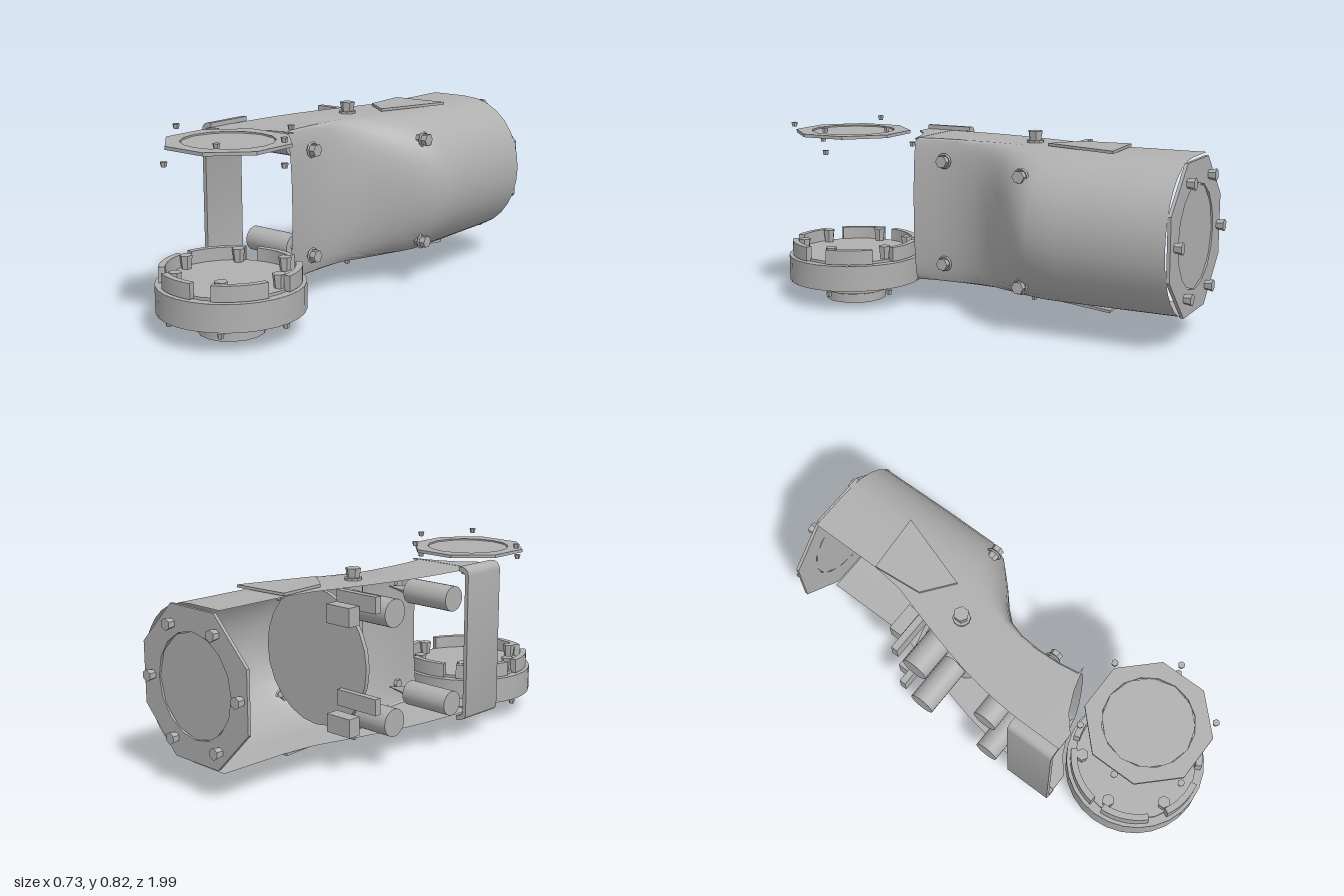
import * as THREE from 'three';
import { toCreasedNormals } from 'three/addons/utils/BufferGeometryUtils.js';

const gray = new THREE.MeshStandardMaterial({ color: 0xb0b0b0, side: THREE.DoubleSide });
gray.name = 'plainGray';

const MID = 0.445;              // height of the arm axis
const WX = 0.02, WZ = 0.69;     // wrist axis

export function createModel() {
  const root = new THREE.Group();
  const add = (name, geo, x = 0, y = 0, z = 0, parent = root) => {
    const m = new THREE.Mesh(toCreasedNormals(geo, 0.5), gray);
    m.name = name;
    m.position.set(x, y, z);
    parent.add(m);
    return m;
  };
  const cyl = (r, h, n = 24, r2 = r) => new THREE.CylinderGeometry(r, r2, h, n);
  // Flat horizontal plate from [x, z] points, its underside at y
  const plate = (name, pts, y, h) => {
    const s = new THREE.Shape(pts.map(([x, z]) => new THREE.Vector2(x, -z)));
    const g = new THREE.ExtrudeGeometry(s, { depth: h, bevelEnabled: false });
    return add(name, g.rotateX(-Math.PI / 2), 0, y, 0);
  };
  // Hexagonal screw along y with a collar
  const screw = (name, x, y, z, r, h) => {
    const g = new THREE.Group();
    g.name = name;
    add('screwHead', cyl(r, h, 6, r * 0.75), 0, 0, 0, g);
    g.position.set(x, y, z);
    root.add(g);
    return g;
  };

  // Arm shell: [z, left edge, start of the bulge, right edge], open on its left side
  const rows = [
    [-0.95, -0.12, 0.05, 0.365], [-0.62, -0.12, 0.05, 0.37], [-0.48, -0.135, 0.05, 0.37],
    [-0.36, -0.17, 0.045, 0.37], [-0.29, -0.19, 0.04, 0.34], [-0.2, -0.215, 0.03, 0.25],
    [-0.12, -0.235, 0.02, 0.16], [-0.04, -0.253, 0.005, 0.085], [0.05, -0.268, 0, 0.045],
    [0.15, -0.28, 0, 0.03], [0.25, -0.287, 0.005, 0.035], [0.35, -0.29, 0.02, 0.055],
  ];
  const N = 16, pos = [], idx = [];
  for (const [z, l, f, r] of rows) {
    pos.push(l, 0.77, z);
    for (let i = 0; i <= N; i++) {
      const t = Math.PI / 2 - (i / N) * Math.PI;
      pos.push(f + (r - f) * Math.cos(t) ** 0.9, MID + 0.325 * Math.sin(t), z);
    }
    pos.push(l, 0.12, z);
  }
  const C = N + 3;
  for (let j = 0; j < rows.length - 1; j++) {
    for (let i = 0; i < C - 1; i++) {
      const a = j * C + i, b = a + 1, c = a + C, d = c + 1;
      idx.push(a, c, b, b, c, d);
    }
  }
  const shell = new THREE.BufferGeometry();
  shell.setAttribute('position', new THREE.Float32BufferAttribute(pos, 3));
  shell.setIndex(idx);
  add('armShell', shell);

  // Tongues that reach round the wrist, and thin cover plates on both faces
  const tongue = [[-0.29, 0.34], [0.055, 0.34], [-0.05, 0.37], [-0.14, 0.41], [-0.21, 0.47], [-0.29, 0.47]];
  const cover = [[-0.12, -0.62], [0.14, -0.64], [0.03, -0.3], [-0.1, -0.4]];
  for (const [y, o] of [[0.765, 0.008], [0.12, -0.012]]) {
    plate('wristTongue', tongue, y, 0.006);
    plate('coverPlate', cover, y + o, 0.012);
  }

  // Bracket on the left with its ends hooked inward
  const hook = new THREE.Shape();
  hook.moveTo(-0.29, 0.79);
  hook.lineTo(-0.31, 0.79);
  hook.quadraticCurveTo(-0.343, 0.785, -0.343, 0.75);
  hook.lineTo(-0.343, 0.13);
  hook.quadraticCurveTo(-0.343, 0.1, -0.29, 0.095);
  hook.lineTo(-0.29, 0.115);
  hook.quadraticCurveTo(-0.325, 0.12, -0.325, 0.14);
  hook.lineTo(-0.325, 0.75);
  hook.quadraticCurveTo(-0.325, 0.768, -0.29, 0.77);
  add('sideBracket', new THREE.ExtrudeGeometry(hook, { depth: 0.22, bevelEnabled: false }), 0, 0, 0.25);

  // Cross posts with their flanges, and screws on the right wall
  for (const y of [0.675, 0.21]) {
    for (const [z, r, x] of [[0.14, 0.055, 0.04], [-0.23, 0.06, 0.27]]) {
      const post = add('crossPost', cyl(r, 0.24, 24), -0.235, y, z);
      post.rotation.z = Math.PI / 2;
      const sz = z > 0 ? 0.2 : -0.29;
      const s = screw('wallScrew', x, y, sz, 0.028, 0.06);
      s.rotation.z = -Math.PI / 2;
      add('wallScrewCollar', new THREE.TorusGeometry(0.03, 0.006, 4, 10), x, y, sz).rotation.y = Math.PI / 2;
    }
    const up = y > MID ? 1 : -1;
    add('postFlange', new THREE.BoxGeometry(0.22, 0.07, 0.03), -0.245, y + (up > 0 ? 0.05 : 0.09), -0.33);
    add('postBlock', new THREE.BoxGeometry(0.13, 0.08, 0.06), -0.215, y, -0.39);
    const web = add('postWeb', new THREE.ConeGeometry(0.03, 0.14, 4), -0.05, y, 0.14);
    web.rotation.z = -Math.PI / 2;
  }

  // Upright tube through the arm, screwed at both ends
  add('uprightTube', cyl(0.04, 0.65), -0.08, MID, -0.19);
  screw('tubeScrew', -0.08, 0.795, -0.19, 0.034, 0.05);
  add('tubeCollar', cyl(0.038, 0.01, 10), -0.08, 0.775, -0.19);
  screw('tubeScrew', -0.08, 0.072, -0.19, 0.014, 0.018);

  // Inner bulkhead
  add('bulkhead', cyl(0.3, 0.02, 24), WX, MID - 0.005, -0.31).rotation.x = Math.PI / 2;

  // Eight-sided flange with a round lid, lying flat
  const flange = (name, r, lidR) => {
    const g = new THREE.Group();
    g.name = name;
    const s = new THREE.Shape(), h = new THREE.Path();
    for (let i = 0; i < 8; i++) {
      const a = (i + 0.5) * Math.PI / 4, p = [r * Math.cos(a), r * Math.sin(a)];
      i ? s.lineTo(...p) : s.moveTo(...p);
    }
    h.absarc(0, 0, lidR, 0, Math.PI * 2, true);
    s.holes.push(h);
    const ring = new THREE.ExtrudeGeometry(s, { depth: 0.014, bevelEnabled: false, curveSegments: 8 });
    add('flangeRing', ring.rotateX(-Math.PI / 2), 0, -0.007, 0, g);
    add('flangeLid', cyl(lidR, 0.008, 12), 0, -0.003, 0, g);
    root.add(g);
    return g;
  };
  flange('wristTopFlange', 0.265, 0.19).position.set(WX, 0.78, WZ);
  const end = flange('endFlange', 0.34, 0.22);
  end.position.set(0.03, MID, -0.957);
  end.rotation.x = -Math.PI / 2;

  // Six screws round the end flange
  for (let i = 0; i < 6; i++) {
    const a = i * Math.PI / 3;
    const s = screw('endScrew', WX + 0.27 * Math.cos(a), MID + 0.27 * Math.sin(a), -0.98, 0.026, 0.035);
    s.rotation.x = -Math.PI / 2;
  }

  // Wrist drum with a hub underneath
  add('wristDrum', cyl(0.307, 0.115, 28), WX, 0.1525, WZ);
  add('drumDeck', cyl(0.27, 0.012, 20), WX, 0.216, WZ);
  add('hubRing', cyl(0.15, 0.012, 16), WX, 0.05, WZ);
  add('hub', cyl(0.139, 0.04, 16), WX, 0.02, WZ);

  // Broken rim above the drum
  const rim = [[0.1, 0.75], [1.2, 0.7], [2.1, 0.9], [3.2, 0.75], [4.25, 0.65], [5.2, 0.8]];
  for (const [a, len] of rim) {
    const s = new THREE.Shape();
    s.absarc(0, 0, 0.29, a, a + len, false);
    s.absarc(0, 0, 0.262, a + len, a, true);
    const g = new THREE.ExtrudeGeometry(s, { depth: 0.065, bevelEnabled: false, curveSegments: 4 });
    add('drumRim', g.rotateX(-Math.PI / 2), WX, 0.213, WZ);
  }

  // Wrist screws: [x, z, height of the upper screw]
  const spots = [[-0.25, 0.71, 0.815], [-0.14, 0.47, 0.715], [0.13, 0.44, 0.815],
    [0.287, 0.66, 0.815], [0.17, 0.91, 0.815], [-0.09, 0.935, 0.715]];
  for (const [x, z, y] of spots) {
    screw('upperScrew', x, y, z, 0.015, 0.02);
    screw('lowerScrew', x, 0.07, z, 0.015, 0.02);
    screw('drumScrew', WX + (x - WX) * 0.88, 0.25, WZ + (z - WZ) * 0.88, 0.028, 0.06);
  }
  screw('upperScrew', 0.287, 0.715, 0.66, 0.015, 0.02);

  return root;
}
